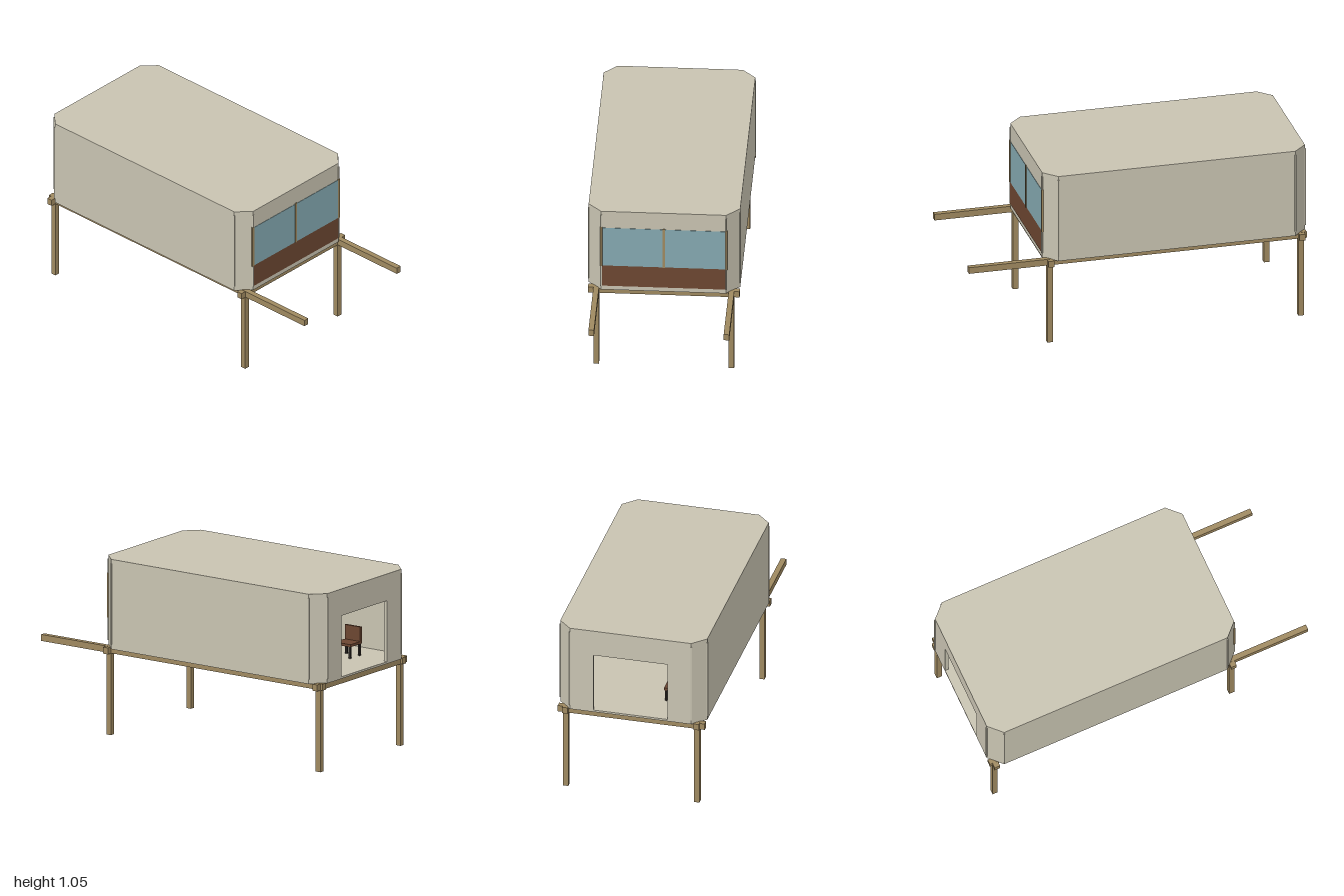
import * as THREE from 'three';

const mat = (name, color) => {
  const m = new THREE.MeshStandardMaterial({ color });
  m.name = name;
  return m;
};

export function createModel() {
  const shell = mat('shell', 0xc8c3b1);
  const timber = mat('timber', 0x9f8960);
  const glass = mat('glass', 0x84a8b0);
  const brown = mat('brownPanel', 0x6c4631);
  const dark = mat('darkMetal', 0x2a2522);
  const root = new THREE.Group();
  root.name = 'raisedCabin';

  // box given by its minimum and maximum corners
  const box = (name, m, [x0, y0, z0], [x1, y1, z1], parent = root) => {
    const mesh = new THREE.Mesh(new THREE.BoxGeometry(x1 - x0, y1 - y0, z1 - z0), m);
    mesh.position.set((x0 + x1) / 2, (y0 + y1) / 2, (z0 + z1) / 2);
    mesh.name = name;
    parent.add(mesh);
    return mesh;
  };

  // plan of the cabin: a rectangle with cut corners
  const X0 = -1, X1 = 0.555, Z = 0.435, C = 0.076, T = 0.02;
  const floorY = 0.53, roofY = 1.028, top = 1.048;
  const plan = [
    [X0 + C, Z], [X1 - C, Z], [X1, Z - C], [X1, -Z + C],
    [X1 - C, -Z], [X0 + C, -Z], [X0, -Z + C], [X0, Z - C],
  ];
  const outline = new THREE.Shape(plan.map(([x, z]) => new THREE.Vector2(x, -z)));
  const slab = (name, y, depth) => {
    const geo = new THREE.ExtrudeGeometry(outline, { depth, bevelEnabled: false });
    geo.rotateX(-Math.PI / 2);
    const mesh = new THREE.Mesh(geo, shell);
    mesh.position.y = y;
    mesh.name = name;
    root.add(mesh);
  };
  slab('floor', 0.518, floorY - 0.518);
  slab('roof', roofY, top - roofY);

  // walls between neighbouring plan corners; the doorway end is built separately
  plan.forEach(([ax, az], i) => {
    const [bx, bz] = plan[(i + 1) % plan.length];
    const len = Math.hypot(bx - ax, bz - az);
    const angle = Math.atan2(-(bz - az), bx - ax);
    if (i !== 6) {
      const geo = new THREE.BoxGeometry(len, roofY - floorY, T);
      geo.translate(len / 2, 0, -T / 2);
      const wall = new THREE.Mesh(geo, shell);
      wall.position.set(ax, (floorY + roofY) / 2, az);
      wall.rotation.y = angle;
      wall.name = i % 2 ? 'cornerWall' : 'wall';
      root.add(wall);
    }
    // slim upright trim on every corner edge
    const trim = new THREE.Mesh(new THREE.BoxGeometry(0.008, 0.48, 0.008), shell);
    trim.position.set(ax, 0.785, az);
    trim.rotation.y = Math.PI / 8;
    trim.name = 'cornerTrim';
    root.add(trim);
  });

  // end wall with the open doorway
  const doorHalf = 0.22, doorTop = 0.89;
  for (const s of [-1, 1]) {
    const a = s * doorHalf, b = s * (Z - C);
    box('doorSideWall', shell, [X0, floorY, Math.min(a, b)], [X0 + T, roofY, Math.max(a, b)]);
  }
  box('doorHeader', shell, [X0, doorTop, -doorHalf], [X0 + T, roofY, doorHalf]);

  // glazed end: lower panel, window and mullions
  const w = Z - C;
  box('lowerPanel', brown, [X1, 0.545, -w], [X1 + 0.002, 0.682, w]);
  box('window', glass, [X1, 0.682, -w], [X1 + 0.002, 0.937, w]);
  for (const z of [-w, 0, w])
    box('mullion', timber, [X1 - 0.005, 0.68, z - 0.007], [X1 + 0.005, 0.943, z + 0.007]);

  // timber frame: long carrying beams, cross beams and legs
  for (const s of [-1, 1]) {
    const z = s * 0.388;
    box('longBeam', timber, [-1, 0.484, z - 0.016], [1, 0.522, z + 0.016]);
    for (const x of [-0.967, 0.52])
      box('leg', timber, [x - 0.016, 0, z - 0.0155], [x + 0.016, 0.5, z + 0.0155]);
  }
  for (const x of [-0.967, 0.52])
    box('crossBeam', timber, [x - 0.017, 0.483, -Z], [x + 0.017, 0.521, Z]);

  // small chair inside
  const chair = new THREE.Group();
  chair.name = 'chair';
  chair.position.set(-0.74, floorY, 0.2);
  root.add(chair);
  box('seat', brown, [-0.055, 0.07, -0.055], [0.055, 0.085, 0.055], chair);
  box('backrest', brown, [-0.055, 0.085, 0.04], [0.055, 0.17, 0.055], chair);
  for (const x of [-0.045, 0.045])
    for (const z of [-0.045, 0.045])
      box('chairLeg', dark, [x - 0.006, 0, z - 0.006], [x + 0.006, 0.07, z + 0.006], chair);

  return root;
}
